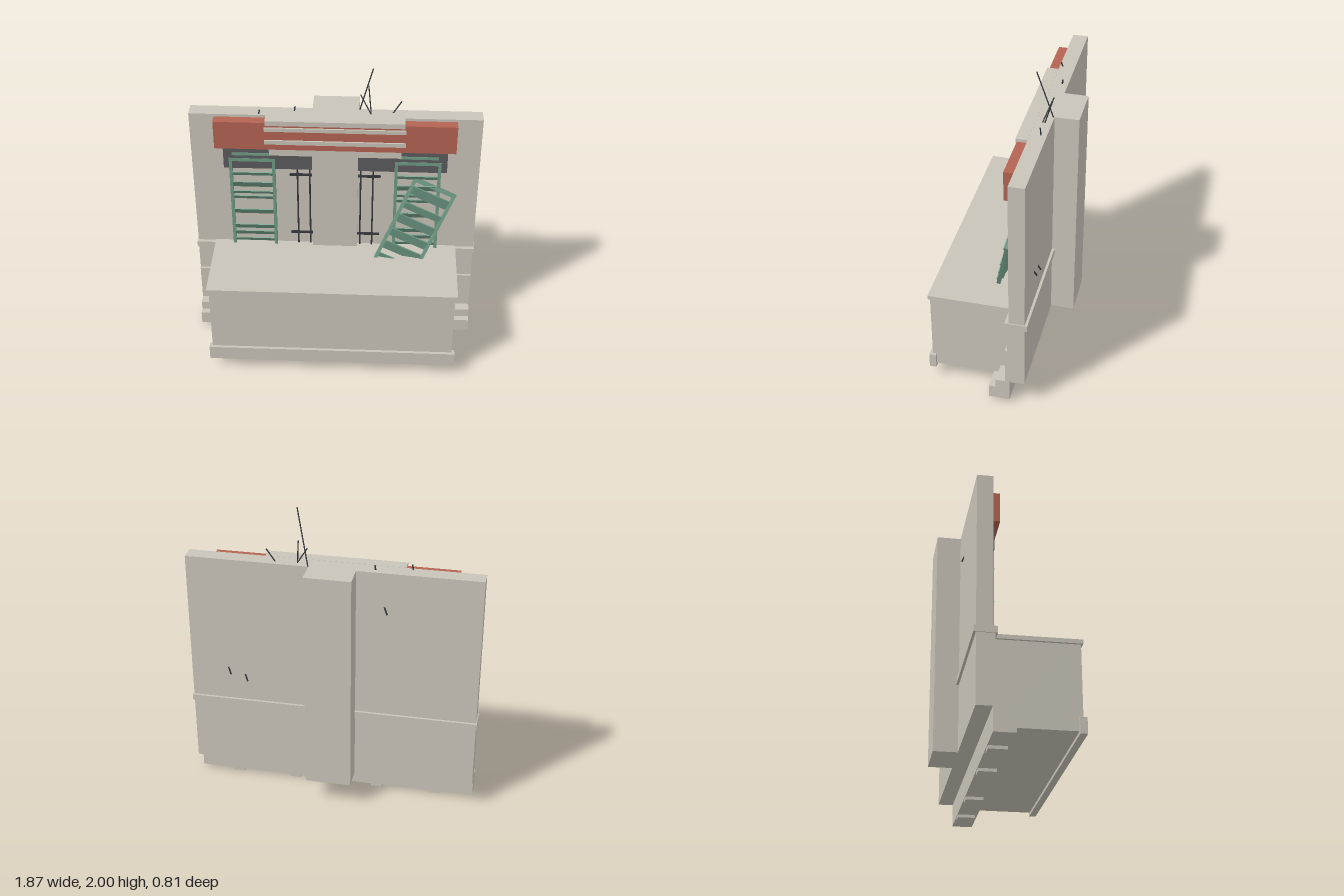
import * as THREE from 'three';

const mat = (name, color) => {
  const m = new THREE.MeshStandardMaterial({ color });
  m.name = name;
  return m;
};

export function createModel() {
  const stone = mat('stone', 0xc9c4b8);
  const red = mat('red sign', 0xb46352);
  const charcoal = mat('charcoal panel', 0x5b5a5c);
  const green = mat('green wood', 0x6f9a85);
  const iron = mat('dark iron', 0x35373c);
  const model = new THREE.Group();
  model.name = 'ruinedShopfront';

  // Box given by its limits on each axis
  const block = (name, m, x0, x1, y0, y1, z0, z1, parent = model) => {
    const mesh = new THREE.Mesh(new THREE.BoxGeometry(x1 - x0, y1 - y0, z1 - z0), m);
    mesh.position.set((x0 + x1) / 2, (y0 + y1) / 2, (z0 + z1) / 2);
    mesh.name = name;
    parent.add(mesh);
    return mesh;
  };

  // Thin rod between two points
  const rod = (name, a, b, r = 0.005) => {
    const p = new THREE.Vector3(...a), q = new THREE.Vector3(...b);
    const d = q.clone().sub(p);
    const mesh = new THREE.Mesh(new THREE.CylinderGeometry(r, r, d.length(), 6), iron);
    mesh.position.copy(p).add(q).multiplyScalar(0.5);
    mesh.quaternion.setFromUnitVectors(new THREE.Vector3(0, 1, 0), d.normalize());
    mesh.name = name;
    model.add(mesh);
  };

  // Wall, rear chimney breast and string course
  const W = 0.928;
  block('wall', stone, -W, W, 0.17, 1.655, -0.25, -0.15);
  block('rearPier', stone, -0.148, 0.148, 0.17, 1.655, -0.403, -0.25);
  block('stringCourse', stone, -W - 0.006, W + 0.006, 0.613, 0.655, -0.266, -0.125);

  // Stepped base: [bottom, top, front]
  for (const [y0, y1, z] of [[0.02, 0.11, -0.02], [0.11, 0.17, -0.063], [0.17, 0.425, -0.125], [0.425, 0.613, -0.14]])
    block('baseStep', stone, -W, W, y0, y1, -0.153, z);
  for (const x of [-0.675, -0.28, 0.28, 0.675])
    block('foot', stone, x - 0.037, x + 0.037, 0, 0.02, -0.15, -0.035);

  // Counter
  block('counterBody', stone, -0.793, 0.793, 0.1, 0.64, -0.14, 0.385);
  block('counterTop', stone, -0.808, 0.808, 0.638, 0.665, -0.145, 0.396);
  block('counterPlinth', stone, -0.813, 0.813, 0.08, 0.18, 0.36, 0.404);

  // Central pilaster, lintel block and sign with its stone mouldings
  block('pilaster', stone, -0.148, 0.148, 0.66, 1.44, -0.15, -0.108);
  block('lintel', stone, -0.422, 0.422, 1.385, 1.45, -0.15, -0.1);
  block('sign', red, -0.768, 0.768, 1.44, 1.637, -0.15, -0.085);
  block('corniceTop', stone, -0.44, 0.44, 1.622, 1.656, -0.15, -0.076);
  block('upperMoulding', stone, -0.448, 0.448, 1.58, 1.606, -0.12, -0.074);
  block('lowerMoulding', stone, -0.448, 0.448, 1.485, 1.513, -0.12, -0.074);

  // Louvred shutter; origin at the top left corner, hanging downward
  const shutter = (name, slats, height = 0.69, width = 0.298) => {
    const g = new THREE.Group();
    g.name = name;
    const t = 0.02, h = 0.012;
    block('leftRail', green, 0, t, -height, 0, -h, h, g);
    block('rightRail', green, width - t, width, -height, 0, -h, h, g);
    block('topRail', green, t, width - t, -0.024, 0, -h, h, g);
    for (const [y, size] of slats) {
      const s = block('slat', green, t, width - t, y - size / 2, y + size / 2, -0.004, 0.004, g);
      s.rotation.x = 0.5;
    }
    model.add(g);
    return g;
  };
  const standing = [[-0.125, 0.035], [-0.208, 0.06], [-0.27, 0.03], [-0.31, 0.035],
    [-0.425, 0.055], [-0.548, 0.05], [-0.6, 0.045], [-0.655, 0.035]];
  shutter('leftStandingShutter', standing).position.set(-0.684, 1.352, -0.122);
  shutter('rightStandingShutter', standing).position.set(0.383, 1.352, -0.122);
  const fallen = shutter('fallenShutter', [[-0.09, 0.085], [-0.2, 0.06], [-0.3, 0.08], [-0.41, 0.075], [-0.51, 0.08], [-0.6, 0.06]]);
  fallen.position.set(0.515, 1.222, -0.135);
  fallen.rotation.set(-0.235, 0, -0.41);

  // Window heads, shutter stubs and window bars, mirrored
  for (const s of [-1, 1]) {
    const span = (name, m, a, b, y0, y1, z0, z1) =>
      block(name, m, Math.min(s * a, s * b), Math.max(s * a, s * b), y0, y1, z0, z1);
    span('windowHead', charcoal, 0.148, 0.718, 1.275, 1.426, -0.15, -0.112);
    span('shutterHeadRail', green, 0.42, 0.684, 1.426, 1.44, -0.14, -0.108);
    span('stubSlat', green, 0.415, 0.662, 1.376, 1.394, -0.125, -0.106);
    for (const x of [0.165, 0.245])
      rod('verticalBar', [s * x, 0.66, -0.138], [s * x, 1.28, -0.138], 0.006);
    for (const y of [0.752, 1.217])
      span('crossBar', iron, 0.148, 0.295, y - 0.007, y + 0.007, -0.144, -0.132);
  }

  // Bent reinforcing wires on the wall top
  rod('tallWire', [0.15, 1.65, -0.245], [0.232, 2.0, -0.156], 0.004);
  rod('wire', [0.226, 1.65, -0.19], [0.155, 1.77, -0.235], 0.004);
  rod('wire', [0.224, 1.65, -0.205], [0.205, 1.825, -0.255], 0.004);
  rod('wire', [0.36, 1.65, -0.213], [0.415, 1.737, -0.22], 0.004);
  rod('wireStub', [-0.485, 1.65, -0.17], [-0.478, 1.685, -0.16]);
  rod('wireStub', [-0.262, 1.65, -0.212], [-0.257, 1.685, -0.215]);

  // Wire stubs on the back
  for (const [x, y] of [[0.675, 0.86], [0.565, 0.82], [-0.335, 1.4]])
    rod('rearStub', [x + 0.01, y + 0.025, -0.248], [x - 0.01, y - 0.02, -0.264]);

  return model;
}
